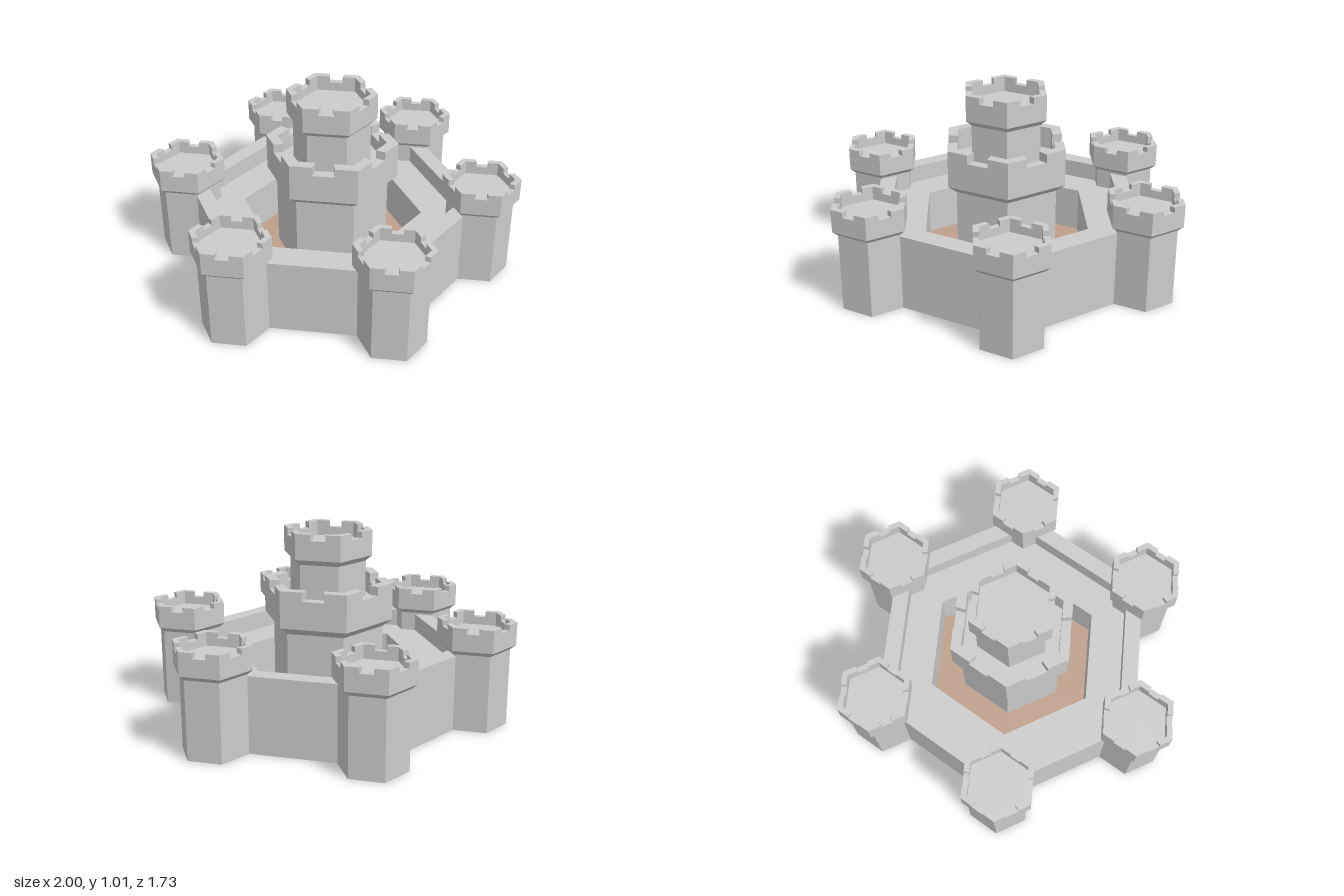
import * as THREE from 'three';

const material = (color) => new THREE.MeshStandardMaterial({ color, flatShading: true, side: THREE.DoubleSide });
const stone = material(0xcccccc);
const earth = material(0xbea08c);
const grass = material(0x7fbc66);

function add(parent, name, geometry, mat = stone) {
  const mesh = new THREE.Mesh(geometry, mat);
  mesh.name = name;
  parent.add(mesh);
  return mesh;
}

// Six-sided shell from a [radius, height] profile, with corners on the x axis
const hexShell = (profile) =>
  new THREE.LatheGeometry(profile.map(([r, y]) => new THREE.Vector2(r, y)), 6, Math.PI / 6);

const corner = (r, i) => new THREE.Vector2(r * Math.cos(i * Math.PI / 3), r * Math.sin(i * Math.PI / 3));

// Corner merlon: a bent block reaching a third of the way along both neighbouring sides
function merlonGeometry(outer, inner, height, i) {
  const bend = (r) => {
    const c = corner(r, i);
    return [c.clone().lerp(corner(r, i - 1), 1 / 3), c, c.clone().lerp(corner(r, i + 1), 1 / 3)];
  };
  const shape = new THREE.Shape([...bend(outer), ...bend(inner).reverse()]);
  return new THREE.ExtrudeGeometry(shape, { depth: height, bevelEnabled: false }).rotateX(-Math.PI / 2);
}

// Shaft, flared collar, parapet with six notches and a sunken floor
function battlementTower(name, t) {
  const group = new THREE.Group();
  group.name = name;
  add(group, 'towerBody', hexShell([
    [t.shaft, t.base], [t.shaft, t.flareLow], [t.outer, t.flareHigh], [t.outer, t.notch],
    [t.inner, t.notch], [t.inner, t.floor], [0, t.floor],
  ]));
  for (let i = 0; i < 6; i++) {
    add(group, 'merlon', merlonGeometry(t.outer, t.inner, t.top - t.notch, i)).position.y = t.notch;
  }
  return group;
}

export function createModel() {
  const model = new THREE.Group();
  model.name = 'castle';

  // Curtain wall with a raised rim, wall walk and drop to the courtyard
  add(model, 'curtainWall', hexShell([
    [0.797, 0], [0.797, 0.405], [0.698, 0.405], [0.698, 0.31], [0.488, 0.31], [0.488, 0.07],
  ]));

  // Courtyard ground and the floor within the keep
  add(model, 'courtyard', new THREE.RingGeometry(0.3, 0.488, 6, 1).rotateX(-Math.PI / 2), earth).position.y = 0.07;
  add(model, 'keepFloor', new THREE.CircleGeometry(0.3, 6).rotateX(-Math.PI / 2), grass).position.y = 0.07;

  // Corner towers
  for (let i = 0; i < 6; i++) {
    const tower = battlementTower('cornerTower', {
      shaft: 0.176, outer: 0.205, inner: 0.171, base: 0,
      flareLow: 0.415, flareHigh: 0.44, floor: 0.49, notch: 0.533, top: 0.562,
    });
    const c = corner(0.795, i);
    tower.position.set(c.x, 0, c.y);
    model.add(tower);
  }

  // Two-stage central keep
  model.add(battlementTower('lowerKeep', {
    shaft: 0.3, outer: 0.35, inner: 0.29, base: 0,
    flareLow: 0.49, flareHigh: 0.53, floor: 0.61, notch: 0.68, top: 0.728,
  }));
  model.add(battlementTower('upperKeep', {
    shaft: 0.205, outer: 0.238, inner: 0.2, base: 0.61,
    flareLow: 0.84, flareHigh: 0.87, floor: 0.925, notch: 0.972, top: 1.006,
  }));

  return model;
}
